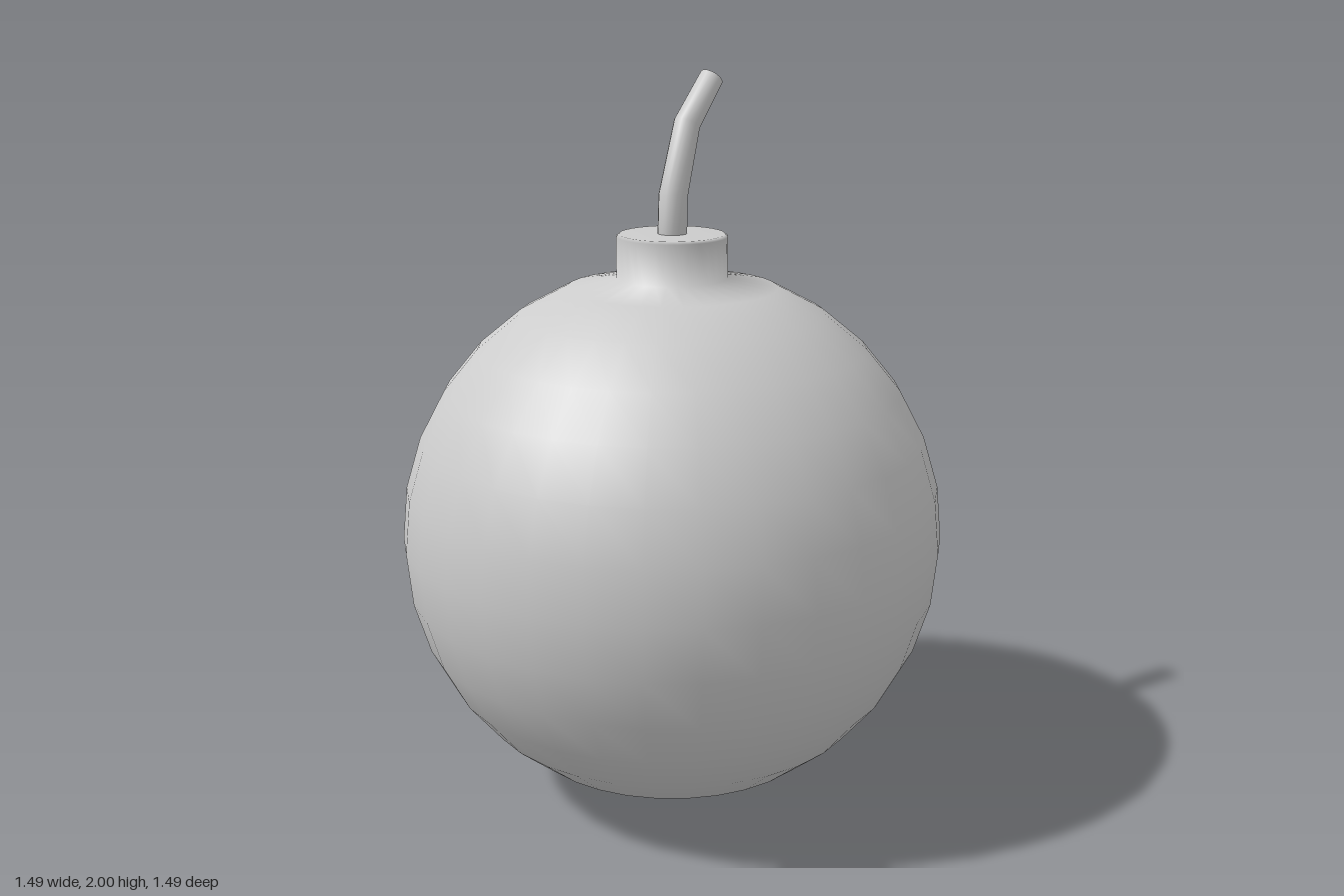
import * as THREE from 'three';
import { mergeVertices } from 'three/addons/utils/BufferGeometryUtils.js';

const material = new THREE.MeshStandardMaterial({ color: 0xcccccc });

// Round body and neck as one smooth turned profile
function bodyGeometry() {
  const R = 0.745, centreY = 0.748, points = [];
  for (let i = 0; i <= 14; i++) {
    const a = (i / 16) * Math.PI;
    points.push(new THREE.Vector2(i === 0 ? 0 : R * Math.sin(a), centreY - R * Math.cos(a)));
  }
  const neck = [[0.15, 1.462], [0.15, 1.573], [0.142, 1.58], [0, 1.58]];
  neck.forEach(([x, y]) => points.push(new THREE.Vector2(x, y)));
  return new THREE.LatheGeometry(points, 32);
}

// Bent, slightly tapering fuse: a cylinder whose rings follow a path
function fuseGeometry() {
  const path = [[0, 1.54, 0], [0.001, 1.68, -0.004], [0.013, 1.865, -0.06], [0.037, 1.98, -0.155]]
    .map((p) => new THREE.Vector3(...p));
  const radii = [0.04, 0.039, 0.036, 0.033];
  const last = path.length - 1;
  const up = new THREE.Vector3(0, 1, 0);
  const turns = path.map((p, i) => {
    const before = p.clone().sub(path[Math.max(i - 1, 0)]).normalize();
    const after = path[Math.min(i + 1, last)].clone().sub(p).normalize();
    return new THREE.Quaternion().setFromUnitVectors(up, before.add(after).normalize());
  });

  let geometry = new THREE.CylinderGeometry(1, 1, 1, 16, last);
  const pos = geometry.attributes.position;
  const v = new THREE.Vector3();
  for (let i = 0; i < pos.count; i++) {
    v.fromBufferAttribute(pos, i);
    const ring = Math.round((v.y + 0.5) * last);
    v.y = 0;
    v.multiplyScalar(radii[ring]).applyQuaternion(turns[ring]).add(path[ring]);
    pos.setXYZ(i, v.x, v.y, v.z);
  }
  geometry.deleteAttribute('uv');
  geometry.deleteAttribute('normal');
  geometry = mergeVertices(geometry, 1e-5);
  geometry.computeVertexNormals();
  return geometry;
}

export function createModel() {
  const group = new THREE.Group();
  group.name = 'bomb';
  const add = (name, geometry) => {
    const mesh = new THREE.Mesh(geometry, material);
    mesh.name = name;
    group.add(mesh);
  };
  add('bodyWithNeck', bodyGeometry());
  add('fuse', fuseGeometry());
  return group;
}
